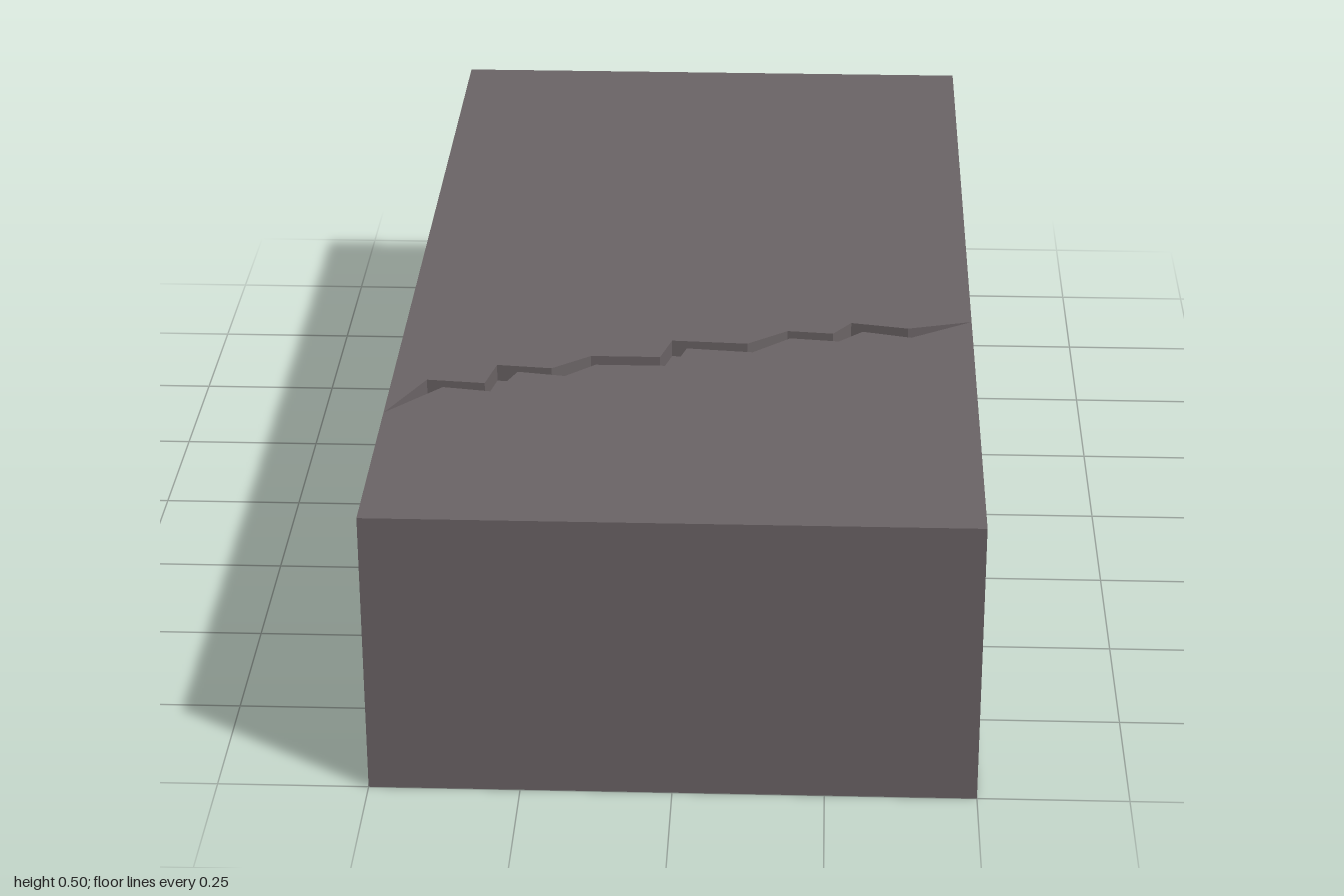
import * as THREE from 'three';

const W = 0.5, H = 0.5, DEPTH = 0.03;

// Ragged tunnel outline as [z, y], front foot to back foot
const TUNNEL = [
  [-0.225, 0], [-0.205, 0.045], [-0.28, 0.135], [-0.195, 0.22], [-0.325, 0.275],
  [-0.385, 0.23], [-0.47, 0.277], [-0.53, 0.215], [-0.605, 0.245], [-0.66, 0.187],
  [-0.795, 0.165], [-0.725, 0.035], [-0.77, 0],
];
// Both rims of the crack as [x, z], pinched together at the ends
const CRACK_BACK = [
  [-0.5, 0.62], [-0.44, 0.49], [-0.34, 0.5], [-0.325, 0.427], [-0.23, 0.437],
  [-0.165, 0.385], [-0.045, 0.385], [-0.027, 0.317], [0.105, 0.325], [0.175, 0.27],
  [0.255, 0.278], [0.287, 0.232], [0.387, 0.252], [0.5, 0.22],
];
const CRACK_FRONT = [
  [-0.5, 0.62], [-0.41, 0.518], [-0.32, 0.533], [-0.287, 0.453], [-0.205, 0.467],
  [-0.155, 0.42], [-0.02, 0.42], [0, 0.348], [0.115, 0.36], [0.18, 0.3],
  [0.265, 0.31], [0.307, 0.268], [0.392, 0.29], [0.5, 0.22],
];

// Flat face from a 2D outline
function face(points) {
  return new THREE.ShapeGeometry(new THREE.Shape(points.map(([a, b]) => new THREE.Vector2(a, b))));
}

// Horizontal face from an [x, z] outline at height y
function plan(points, y) {
  return face(points.map(([x, z]) => [x, -z])).rotateX(-Math.PI / 2).translate(0, y, 0);
}

// Flat-shaded band of quads between two matching paths
function band(a, b) {
  const pos = [];
  for (let i = 0; i < a.length - 1; i++) {
    for (const p of [a[i], a[i + 1], b[i + 1], a[i], b[i + 1], b[i]]) pos.push(...p);
  }
  const g = new THREE.BufferGeometry();
  g.setAttribute('position', new THREE.Float32BufferAttribute(pos, 3));
  g.computeVertexNormals();
  return g;
}

export function createModel() {
  const group = new THREE.Group();
  const material = new THREE.MeshStandardMaterial({ color: 0x6b6466, flatShading: true });
  const add = (name, geometry) => {
    const mesh = new THREE.Mesh(geometry, material);
    mesh.name = name;
    group.add(mesh);
  };

  // Sides with the tunnel mouth, and the walls running across the block
  const profile = [[1, H], [1, 0], ...TUNNEL, [-1, 0], [-1, H]];
  add('leftSide', face(profile.map(([z, y]) => [-z, y])).rotateY(Math.PI / 2).translate(W, 0, 0));
  add('rightSide', face(profile).rotateY(-Math.PI / 2).translate(-W, 0, 0));
  add('endsUndersideAndTunnel', band(
    profile.map(([z, y]) => [-W, y, z]),
    profile.map(([z, y]) => [W, y, z]),
  ));

  // Top surface on either side of the crack
  add('topBack', plan([...CRACK_BACK, [W, -1], [-W, -1]], H));
  add('topFront', plan([...CRACK_FRONT, [W, 1], [-W, 1]], H));

  // Crack floor and walls
  const at = (path, y) => path.map(([x, z]) => [x, y, z]);
  const low = H - DEPTH;
  add('crackFloor', plan([...CRACK_BACK, ...CRACK_FRONT.slice(1, -1).reverse()], low));
  add('crackBackWall', band(at(CRACK_BACK, low), at(CRACK_BACK, H)));
  add('crackFrontWall', band(at(CRACK_FRONT, H), at(CRACK_FRONT, low)));

  return group;
}
